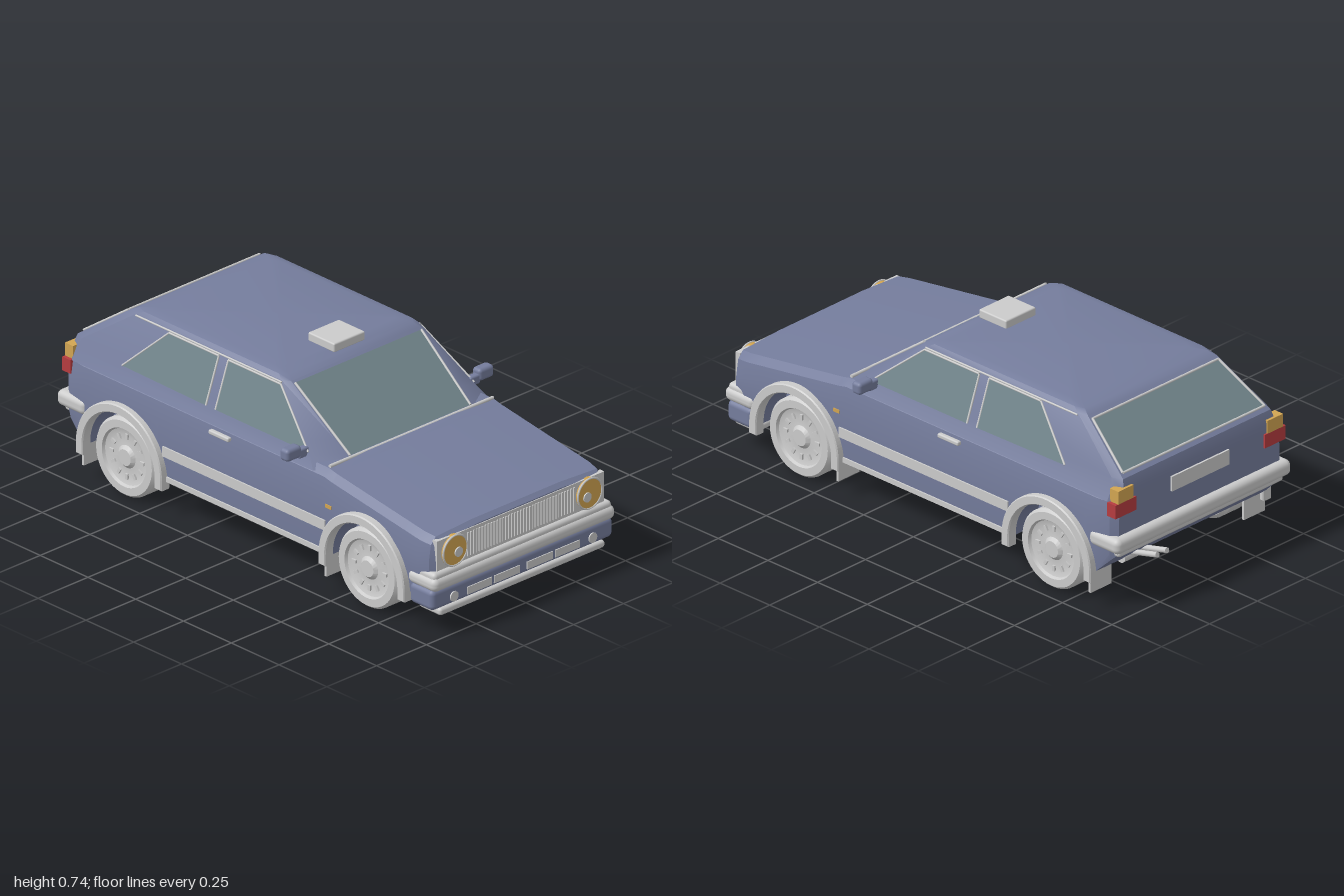
import * as THREE from 'three';
import { toCreasedNormals } from 'three/addons/utils/BufferGeometryUtils.js';
import { RoundedBoxGeometry } from 'three/addons/geometries/RoundedBoxGeometry.js';

const mat = (name, color, side = THREE.FrontSide) =>
  Object.assign(new THREE.MeshStandardMaterial({ color, side }), { name });
const V = (x, y, z) => new THREE.Vector3(x, y, z);

// Skin closed rings of equal length and cap both ends
function loft(rings) {
  const p = [];
  const tri = (...v) => v.forEach((q) => p.push(q.x, q.y, q.z));
  const n = rings[0].length;
  for (let i = 0; i + 1 < rings.length; i++) {
    for (let j = 0; j < n; j++) {
      const k = (j + 1) % n;
      const [a, b, c, d] = [rings[i][j], rings[i][k], rings[i + 1][k], rings[i + 1][j]];
      tri(a, b, d);
      tri(b, c, d);
    }
  }
  [rings[0], rings.at(-1)].forEach((r, end) => {
    const c = r.reduce((s, v) => s.add(v), V(0, 0, 0)).divideScalar(n);
    r.forEach((a, j) => {
      const b = r[(j + 1) % n];
      end ? tri(c, a, b) : tri(c, b, a);
    });
  });
  const g = new THREE.BufferGeometry();
  g.setAttribute('position', new THREE.Float32BufferAttribute(p, 3));
  return toCreasedNormals(g, 0.5);
}

// Flat convex pane from corner points
function pane(pts) {
  const g = new THREE.BufferGeometry().setFromPoints(pts);
  const idx = [];
  for (let i = 1; i + 1 < pts.length; i++) idx.push(0, i, i + 1);
  g.setIndex(idx);
  g.computeVertexNormals();
  return g;
}

export function createModel() {
  const car = new THREE.Group();
  car.name = 'car';
  const paint = mat('bluePaint', 0x757d9d);
  const grey = mat('lightGrey', 0xcbcbcb);
  const glass = mat('glass', 0x70848a, THREE.DoubleSide);
  const amber = mat('amber', 0xd2a552);
  const red = mat('red', 0xb63c40);

  const add = (name, geo, m, x = 0, y = 0, z = 0) => {
    const mesh = new THREE.Mesh(geo, m);
    mesh.name = name;
    mesh.position.set(x, y, z);
    car.add(mesh);
    return mesh;
  };
  // Box given by its limits on each axis
  const box = (name, m, [x0, x1], [y0, y1], [z0, z1], r = 0) => {
    const s = [Math.abs(x1 - x0), y1 - y0, z1 - z0];
    const g = r ? new RoundedBoxGeometry(...s, 3, r) : new THREE.BoxGeometry(...s);
    return add(name, g, m, (x0 + x1) / 2, (y0 + y1) / 2, (z0 + z1) / 2);
  };
  const rod = (name, m, a, b, r) => {
    const d = b.clone().sub(a);
    const mesh = add(name, new THREE.CylinderGeometry(r, r, d.length(), 10), m);
    mesh.position.copy(a).add(b).multiplyScalar(0.5);
    mesh.quaternion.setFromUnitVectors(V(0, 1, 0), d.normalize());
  };
  const disc = (name, m, r, t, x, y, z) =>
    add(name, new THREE.CylinderGeometry(r, r, t, 32).rotateX(Math.PI / 2), m, x, y, z);

  // Lower body: cross-sections from nose to tail, with wheel wells
  const axles = [0.63, -0.64], axleY = 0.16, wellR = 0.19;
  const stations = [0.968, 0.95, 0.9, 0.4, 0, -0.4, -0.86, -0.93, -0.957];
  for (const a of axles) {
    for (let i = 0; i <= 14; i++) stations.push(a + wellR * Math.cos((i * Math.PI) / 14));
  }
  stations.sort((a, b) => b - a);
  const section = (z) => {
    const end = z > 0.96 || z < -0.95;
    const hw = end ? 0.42 : z > 0.94 || z < -0.92 ? 0.44 : 0.449;
    const top = (z > 0.4 ? 0.487 - (z - 0.4) * 0.15 : 0.49) - (end ? 0.012 : 0);
    const floor = z < -0.86 ? 0.16 + (-0.86 - z) * 0.9 : 0.155;
    let low = floor;
    for (const a of axles) {
      const q = wellR ** 2 - (z - a) ** 2;
      if (q > 0) low = Math.max(low, axleY + Math.sqrt(q));
    }
    const half = [
      [hw * 0.5, top + 0.002], [hw * 0.92, top - 0.008], [hw * 0.975, top - 0.035],
      [hw, Math.max(top - 0.1, low + 0.004)], [hw, Math.max(0.25, low + 0.002)],
      [hw - 0.006, low], [0.33, low], [0.33, floor],
    ];
    return [...half, ...half.map(([x, y]) => [-x, y]).reverse()].map(([x, y]) => V(x, y, z));
  };
  add('lowerBody', loft(stations.map(section)), paint);

  // Cabin: rings from the shoulder line up to the roof
  const sideX = (y) => 0.418 - 0.365 * (y - 0.5);
  const screenZ = (y) => 0.38 - 1.35 * (y - 0.5);
  const hatchZ = (y) => -0.945 + 1.406 * (y - 0.54);
  const cabin = [ // y, half width, front z, rear z, front x, front chamfer, rear x
    [0.46, 0.44, 0.434, -0.957, 0.32, 0.09, 0.4],
    [0.5, 0.418, 0.38, -0.957, 0.315, 0.075, 0.395],
    [0.54, sideX(0.54), screenZ(0.54), hatchZ(0.54), 0.315, 0.066, 0.385],
    [0.7, sideX(0.7), screenZ(0.7), hatchZ(0.7), 0.325, 0.03, 0.335],
    [0.714, 0.333, 0.085, -0.69, 0.31, 0.03, 0.32],
    [0.722, 0.3, 0.03, -0.63, 0.28, 0.03, 0.28],
  ].map(([y, hw, zf, zr, xf, dz, xr]) => {
    const half = [[xf, zf], [hw, zf - dz], [hw, zr + 0.04], [xr, zr]];
    return [...half, ...half.map(([x, z]) => [-x, z]).reverse()].map(([x, z]) => V(x, y, z));
  });
  add('cabin', loft(cabin), paint);

  // Windscreen and rear window with bright trim
  const across = (zAt, out, [xb, yb], [xt, yt]) => [
    V(-xb, yb, zAt(yb) + out), V(xb, yb, zAt(yb) + out), V(xt, yt, zAt(yt) + out), V(-xt, yt, zAt(yt) + out)];
  const outline = (name, pts, skip = []) => pts.forEach((p, i) => {
    if (!skip.includes(i)) rod(name, grey, p, pts[(i + 1) % pts.length], 0.005);
  });
  const screen = across(screenZ, 0.005, [0.302, 0.493], [0.317, 0.695]);
  const rear = across(hatchZ, -0.005, [0.37, 0.555], [0.328, 0.692]);
  add('windscreen', pane(screen), glass);
  add('rearWindow', pane([...rear].reverse()), glass);
  outline('windscreenTrim', screen, [0, 2]);
  outline('rearWindowTrim', rear);
  rod('cowlTrim', grey, V(-0.41, 0.487, 0.4), V(0.41, 0.487, 0.4), 0.007);

  for (const s of [1, -1]) {
    // Side windows
    const sidePts = (list) => {
      const pts = list.map(([z, y]) => V(s * (sideX(y) + 0.004), y, z));
      return s > 0 ? pts : pts.reverse();
    };
    const front = [[0.295, 0.51], [-0.19, 0.51], [-0.19, 0.688], [0.085, 0.688]];
    const back = [[-0.24, 0.51], [-0.68, 0.515], [-0.5, 0.688], [-0.24, 0.688]];
    add('frontSideWindow', pane(sidePts(front)), glass);
    add('rearSideWindow', pane(sidePts(back)), glass);
    for (const w of [front, back]) {
      const p = w.map(([z, y]) => V(s * (sideX(y) + 0.003), y, z));
      for (let i = 1; i < 4; i++) rod('sideWindowTrim', grey, p[i], p[(i + 1) % 4], 0.004);
    }
    rod('gutter', grey, V(s * sideX(0.694), 0.694, 0.085), V(s * sideX(0.694), 0.694, -0.68), 0.004);

    // Side mouldings, handle, indicator
    box('sideStripe', grey, [s * 0.44, s * 0.455], [0.25, 0.29], [-0.43, 0.42]);
    box('sillTrim', grey, [s * 0.42, s * 0.45], [0.15, 0.17], [-0.43, 0.42]);
    box('doorHandle', grey, [s * 0.44, s * 0.46], [0.428, 0.446], [-0.185, -0.08], 0.006);
    box('sideIndicator', amber, [s * 0.44, s * 0.452], [0.343, 0.357], [0.42, 0.45]);

    // Door mirror
    box('mirrorStem', paint, [s * 0.405, s * 0.455], [0.49, 0.528], [0.26, 0.29], 0.008);
    box('mirrorHead', paint, [s * 0.446, s * 0.52], [0.498, 0.547], [0.25, 0.295], 0.014);

    // Headlights and fog lamps
    disc('headlight', amber, 0.06, 0.03, s * 0.338, 0.33, 0.968);
    const ring = new THREE.TorusGeometry(0.06, 0.004, 6, 36);
    add('headlightRing', ring, grey, s * 0.338, 0.33, 0.982);
    disc('headlightBulb', grey, 0.019, 0.006, s * 0.323, 0.32, 0.985);
    disc('fogLamp', grey, 0.02, 0.006, s * 0.348, 0.15, 0.987);
    for (const [a, b] of [[0.018, 0.147], [0.16, 0.282]]) {
      box('valanceVent', grey, [s * a, s * b], [0.134, 0.164], [0.981, 0.989]);
    }

    // Tail lights
    box('tailLightAmber', amber, [s * 0.35, s * 0.43], [0.46, 0.512], [-0.964, -0.922]);
    box('tailLightRed', red, [s * 0.335, s * 0.444], [0.405, 0.46], [-0.964, -0.922]);

    // Wheels, arches and mud flaps
    for (const z of axles) {
      const profile = [[0, -0.055], [0.142, -0.055], [0.156, -0.042], [0.156, 0.042], [0.146, 0.055],
        [0.116, 0.055], [0.11, 0.044], [0.085, 0.036], [0.045, 0.04], [0.032, 0.052], [0, 0.052]];
      const geo = new THREE.LatheGeometry(profile.map(([r, y]) => new THREE.Vector2(r, y)), 44);
      const wheel = new THREE.Group();
      wheel.name = 'wheel';
      wheel.add(new THREE.Mesh(toCreasedNormals(geo.rotateZ(-Math.PI / 2), 0.5), grey));
      for (let i = 0; i < 12; i++) {
        const a = (i * Math.PI) / 6;
        const stud = new THREE.Mesh(new THREE.BoxGeometry(0.012, 0.022, 0.012), grey);
        stud.name = 'rimRib';
        stud.position.set(0.038, 0.08 * Math.cos(a), 0.08 * Math.sin(a));
        stud.rotation.x = a;
        wheel.add(stud);
      }
      wheel.position.set(s * 0.39, 0.166, z);
      if (s < 0) wheel.rotation.y = Math.PI;
      wheel.children[0].position.y = -0.01 + 0.01;
      car.add(wheel);

      const arch = new THREE.Shape();
      arch.moveTo(-0.225, -0.042).lineTo(-0.225, 0).absarc(0, 0, 0.225, Math.PI, 0, true);
      arch.lineTo(0.225, -0.042).lineTo(0.188, -0.042).lineTo(0.188, 0);
      arch.absarc(0, 0, 0.188, 0, Math.PI, false).lineTo(-0.188, -0.042);
      const flare = new THREE.ExtrudeGeometry(arch, { depth: 0.036, curveSegments: 28,
        bevelSize: 0.004, bevelThickness: 0.005, bevelOffset: -0.004, bevelSegments: 1 });
      flare.translate(0, 0, -0.018).rotateY(Math.PI / 2);
      add('wheelArch', flare, grey, s * 0.452, axleY, z);
      box('mudFlap', grey, [s * 0.345, s * 0.455], [0.068, 0.18], [z - 0.209, z - 0.199]);
    }
  }

  // Grille with upright slats
  box('grille', grey, [-0.42, 0.42], [0.265, 0.388], [0.95, 0.972]);
  for (let i = -18; i <= 18; i++) {
    box('grilleSlat', grey, [i * 0.0148 - 0.003, i * 0.0148 + 0.003], [0.28, 0.375], [0.97, 0.977]);
  }

  // Bumpers, front valance and lip
  box('frontBumper', grey, [-0.457, 0.457], [0.195, 0.25], [0.85, 1.0], 0.024);
  box('frontBumperTop', grey, [-0.447, 0.447], [0.23, 0.268], [0.86, 0.988], 0.016);
  box('frontValance', paint, [-0.455, 0.455], [0.118, 0.2], [0.86, 0.985], 0.02);
  box('frontLip', grey, [-0.415, 0.415], [0.088, 0.118], [0.87, 0.985], 0.012);
  box('rearBumper', grey, [-0.457, 0.457], [0.262, 0.325], [-0.988, -0.835], 0.024);
  box('rearBumperBase', grey, [-0.43, 0.43], [0.24, 0.275], [-0.968, -0.86], 0.012);

  // Blank rear plate, roof box, exhaust
  box('rearPlate', grey, [-0.15, 0.15], [0.41, 0.47], [-0.965, -0.955]);
  box('roofBox', grey, [-0.078, 0.078], [0.718, 0.754], [-0.06, 0.078], 0.006);
  for (const x of [0.21, 0.26]) {
    rod('exhaustPipe', grey, V(x, 0.165, -0.84), V(x, 0.205, -0.998), 0.011);
  }
  rod('exhaustBox', grey, V(0.17, 0.158, -0.85), V(0.3, 0.158, -0.85), 0.024);
  return car;
}
